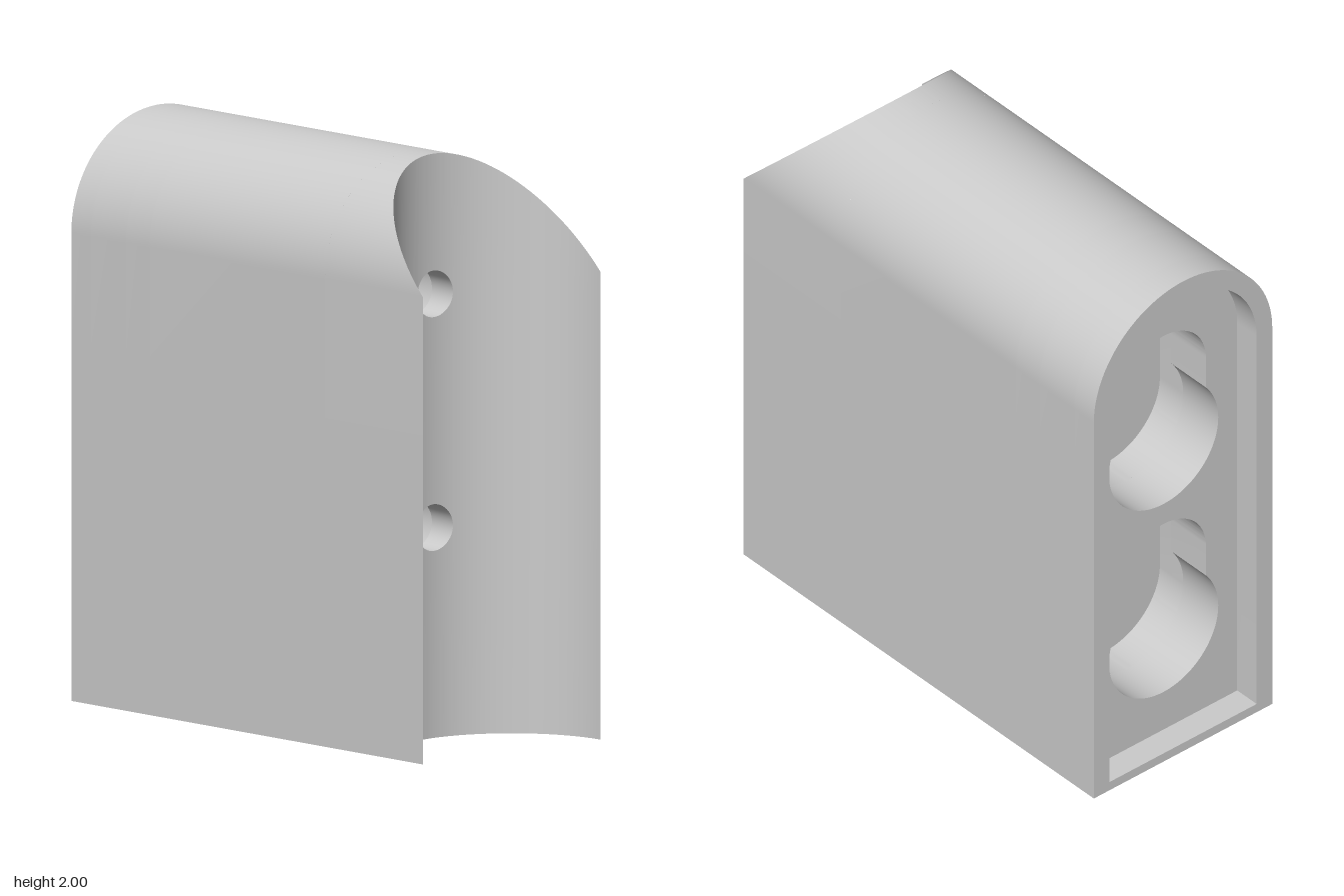
import * as THREE from 'three';
import { toCreasedNormals } from 'three/addons/utils/BufferGeometryUtils.js';

const W = 0.4;            // half width, arch radius and radius of the hollow front
const SPRING = 1.6;       // height where the arch starts
const HOLES = [0.72, 1.52];
const BORE = 0.08, TUNNEL = 0.15, HEAD = 0.245, NECK = 0.19, DROP = 0.28;
const FRONT = 0.4;        // z where the hollow front section begins

const material = new THREE.MeshStandardMaterial({ color: 0xcccccc });

function arch(r, bottom, Type = THREE.Shape) {
  const s = new Type();
  s.moveTo(-r, bottom);
  s.lineTo(r, bottom);
  s.absarc(0, SPRING, r, 0, Math.PI, false);
  s.closePath();
  return s;
}

// Large circle with a narrower slot rising from it
function keyhole(y) {
  const p = new THREE.Path(), a = Math.acos(NECK / HEAD);
  p.absarc(0, y - DROP, HEAD, Math.PI - a, 2 * Math.PI + a, false);
  p.absarc(0, y, NECK, 0, Math.PI, false);
  p.closePath();
  return p;
}

// Wide slot behind the keyhole lip
function wideSlot(y) {
  const p = new THREE.Path();
  p.absarc(0, y - DROP, HEAD, Math.PI, 2 * Math.PI, false);
  p.absarc(0, y, HEAD, 0, Math.PI, false);
  p.closePath();
  return p;
}

function tunnel(y) {
  const p = new THREE.Path();
  p.absarc(0, y, TUNNEL, 0, 2 * Math.PI, false);
  return p;
}

// Arch-shaped slice of the body with holes cut through it
function slice(name, z0, z1, holes) {
  const shape = arch(W, 0);
  shape.holes.push(...holes);
  const g = new THREE.ExtrudeGeometry(shape, { depth: z1 - z0, bevelEnabled: false, curveSegments: 40 });
  g.translate(0, 0, z0);
  const mesh = new THREE.Mesh(toCreasedNormals(g, 0.5), material);
  mesh.name = name;
  return mesh;
}

// Front section: vertical columns that follow the hollow and leave the bores open
function hollowFront() {
  const half = [];
  for (let i = 0; i < 24; i++) half.push(W * Math.cos((i / 24) * Math.acos(BORE / W)));
  for (let i = 0; i < 12; i++) half.push(BORE * Math.cos((i / 12) * Math.PI / 2));
  const xs = [...half.map(x => -x), 0, ...half.reverse()];
  const rise = (r, x) => Math.sqrt(Math.max(0, r * r - x * x));
  const frontZ = x => 0.9 - rise(W, x);
  const pos = [];
  const quad = (a, b, c, d) => pos.push(...a, ...b, ...c, ...a, ...c, ...d);

  const edges = x => {
    const h = rise(BORE, x);
    return [0, ...HOLES.flatMap(y => [y - h, y + h]), SPRING + rise(W, x)];
  };
  for (let i = 0; i < xs.length - 1; i++) {
    const a = xs[i], b = xs[i + 1], za = frontZ(a), zb = frontZ(b);
    const ea = edges(a), eb = edges(b);
    const inBore = Math.abs(a + b) / 2 < BORE;
    for (let k = 0; k < ea.length; k += 2) {
      const la = ea[k], ha = ea[k + 1], lb = eb[k], hb = eb[k + 1];
      quad([a, la, za], [b, lb, zb], [b, hb, zb], [a, ha, za]);
      if (k === 0 || inBore) quad([a, la, FRONT], [b, lb, FRONT], [b, lb, zb], [a, la, za]);
      if (k === ea.length - 2 || inBore) quad([a, ha, za], [b, hb, zb], [b, hb, FRONT], [a, ha, FRONT]);
    }
  }
  // Flat sides
  quad([W, 0, 0.9], [W, 0, FRONT], [W, SPRING, FRONT], [W, SPRING, 0.9]);
  quad([-W, 0, FRONT], [-W, 0, 0.9], [-W, SPRING, 0.9], [-W, SPRING, FRONT]);

  const g = new THREE.BufferGeometry();
  g.setAttribute('position', new THREE.Float32BufferAttribute(pos, 3));
  const mesh = new THREE.Mesh(toCreasedNormals(g, 0.5), material);
  mesh.name = 'hollowFront';
  return mesh;
}

export function createModel() {
  const group = new THREE.Group();
  group.name = 'mountingBlock';

  group.add(
    slice('backRim', -0.9, -0.8, [arch(0.33, 0.035, THREE.Path)]),
    slice('keyholeLip', -0.8, -0.62, HOLES.map(keyhole)),
    slice('screwHeadPocket', -0.62, -0.5, HOLES.map(wideSlot)),
    slice('core', -0.5, FRONT, HOLES.map(tunnel)),
    hollowFront()
  );

  // Shoulder at the end of each tunnel, around the bore
  for (const y of HOLES) {
    const shoulder = new THREE.Mesh(new THREE.RingGeometry(BORE, TUNNEL, 48), material);
    shoulder.rotation.y = Math.PI;
    shoulder.position.set(0, y, FRONT);
    shoulder.name = 'boreShoulder';
    group.add(shoulder);
  }
  return group;
}
